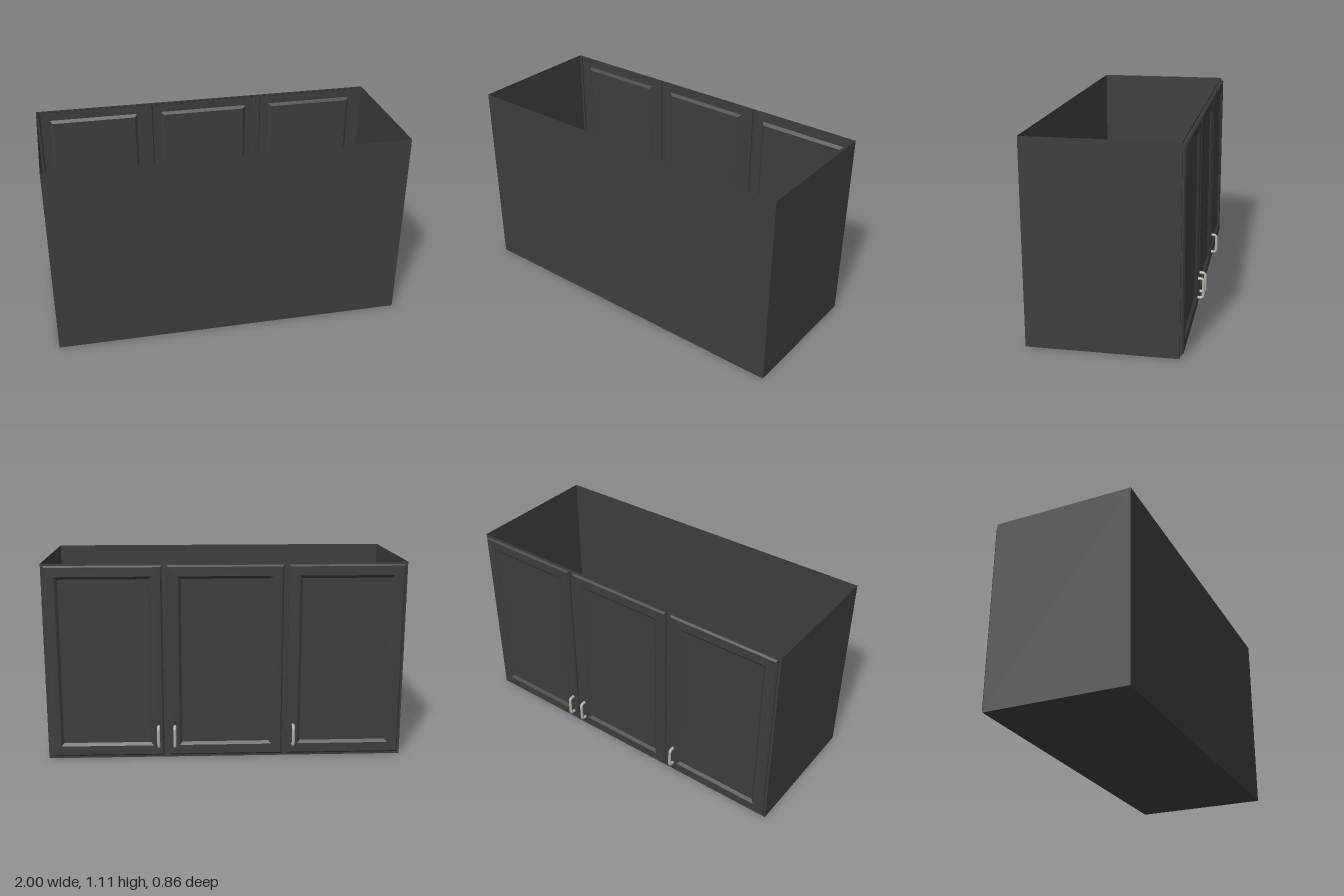
import * as THREE from 'three';

const W = 2, H = 1.11, Z_BACK = 0.43, Z_FACE = -0.37;
const DEPTH = Z_BACK - Z_FACE, Z_MID = (Z_BACK + Z_FACE) / 2;
const DOOR_W = 0.64, DOOR_Y0 = 0.015, DOOR_Y1 = 1.1;
const DOORS = [-0.667, 0, 0.667];

// Sheet lofted through nested rectangles, each given as [inset, z], closed by a flat panel
function doorGeometry(rings) {
  const loops = rings.map(([d, z]) => {
    const x = DOOR_W / 2 - d, y0 = DOOR_Y0 + d, y1 = DOOR_Y1 - d;
    return [[-x, y0, z], [x, y0, z], [x, y1, z], [-x, y1, z]];
  });
  const pos = [];
  const quad = (a, b, c, d) => pos.push(...a, ...b, ...c, ...a, ...c, ...d);
  for (let k = 0; k < loops.length - 1; k++) {
    const o = loops[k], n = loops[k + 1];
    for (let i = 0; i < 4; i++) {
      const j = (i + 1) % 4;
      quad(o[i], n[i], n[j], o[j]);
    }
  }
  const p = loops[loops.length - 1];
  quad(p[0], p[3], p[2], p[1]);
  const geo = new THREE.BufferGeometry();
  geo.setAttribute('position', new THREE.Float32BufferAttribute(pos, 3));
  geo.computeVertexNormals();
  return geo;
}

// Bow handle with rounded corners
function handleGeometry() {
  const y0 = 0.073, y1 = 0.187, zIn = -0.38, zOut = -0.42, r = 0.018;
  const v = (y, z) => new THREE.Vector3(0, y, z);
  const path = new THREE.CurvePath();
  path.add(new THREE.LineCurve3(v(y0, zIn), v(y0, zOut + r)));
  path.add(new THREE.QuadraticBezierCurve3(v(y0, zOut + r), v(y0, zOut), v(y0 + r, zOut)));
  path.add(new THREE.LineCurve3(v(y0 + r, zOut), v(y1 - r, zOut)));
  path.add(new THREE.QuadraticBezierCurve3(v(y1 - r, zOut), v(y1, zOut), v(y1, zOut + r)));
  path.add(new THREE.LineCurve3(v(y1, zOut + r), v(y1, zIn)));
  return new THREE.TubeGeometry(path, 40, 0.0085, 12, false);
}

export function createModel() {
  const group = new THREE.Group();
  const paint = new THREE.MeshStandardMaterial({ color: 0x3d3d3d, side: THREE.DoubleSide });
  paint.name = 'charcoal paint';
  const metal = new THREE.MeshStandardMaterial({ color: 0xb5b0a6 });
  metal.name = 'brushed metal';

  const add = (name, geo, mat, x = 0, y = 0, z = 0) => {
    const mesh = new THREE.Mesh(geo, mat);
    mesh.name = name;
    mesh.position.set(x, y, z);
    group.add(mesh);
    return mesh;
  };

  // Open-topped carcass made of thin sheets
  add('wallPanel', new THREE.PlaneGeometry(W, H), paint, 0, H / 2, Z_BACK);
  add('bottomPanel', new THREE.PlaneGeometry(W, DEPTH), paint, 0, 0, Z_MID).rotation.x = Math.PI / 2;
  for (const s of [-1, 1]) {
    add(s > 0 ? 'leftSide' : 'rightSide', new THREE.PlaneGeometry(DEPTH, H), paint, s * W / 2, H / 2, Z_MID)
      .rotation.y = s * Math.PI / 2;
  }

  // Face frame with an opening for each door
  const rect = (path, x0, y0, x1, y1) =>
    path.moveTo(x0, y0).lineTo(x1, y0).lineTo(x1, y1).lineTo(x0, y1).lineTo(x0, y0);
  const frame = rect(new THREE.Shape(), -W / 2, 0, W / 2, H);
  for (const x of DOORS) {
    frame.holes.push(rect(new THREE.Path(), x - DOOR_W / 2, DOOR_Y0, x + DOOR_W / 2, DOOR_Y1));
  }
  add('faceFrame', new THREE.ShapeGeometry(frame), paint, 0, 0, Z_FACE).rotation.y = Math.PI;

  // Doors: chamfered edge, flat border, bevel down to a recessed panel
  const door = doorGeometry([
    [0, Z_FACE], [0, -0.379], [0.009, -0.388], [0.06, -0.388], [0.076, -0.374],
  ]);
  DOORS.forEach((x, i) => add('door' + (i + 1), door, paint, x));

  // Handles near the lower door corners
  const handle = handleGeometry();
  [-0.382, 0.287, 0.378].forEach((x, i) => add('handle' + (i + 1), handle, metal, x));

  return group;
}
